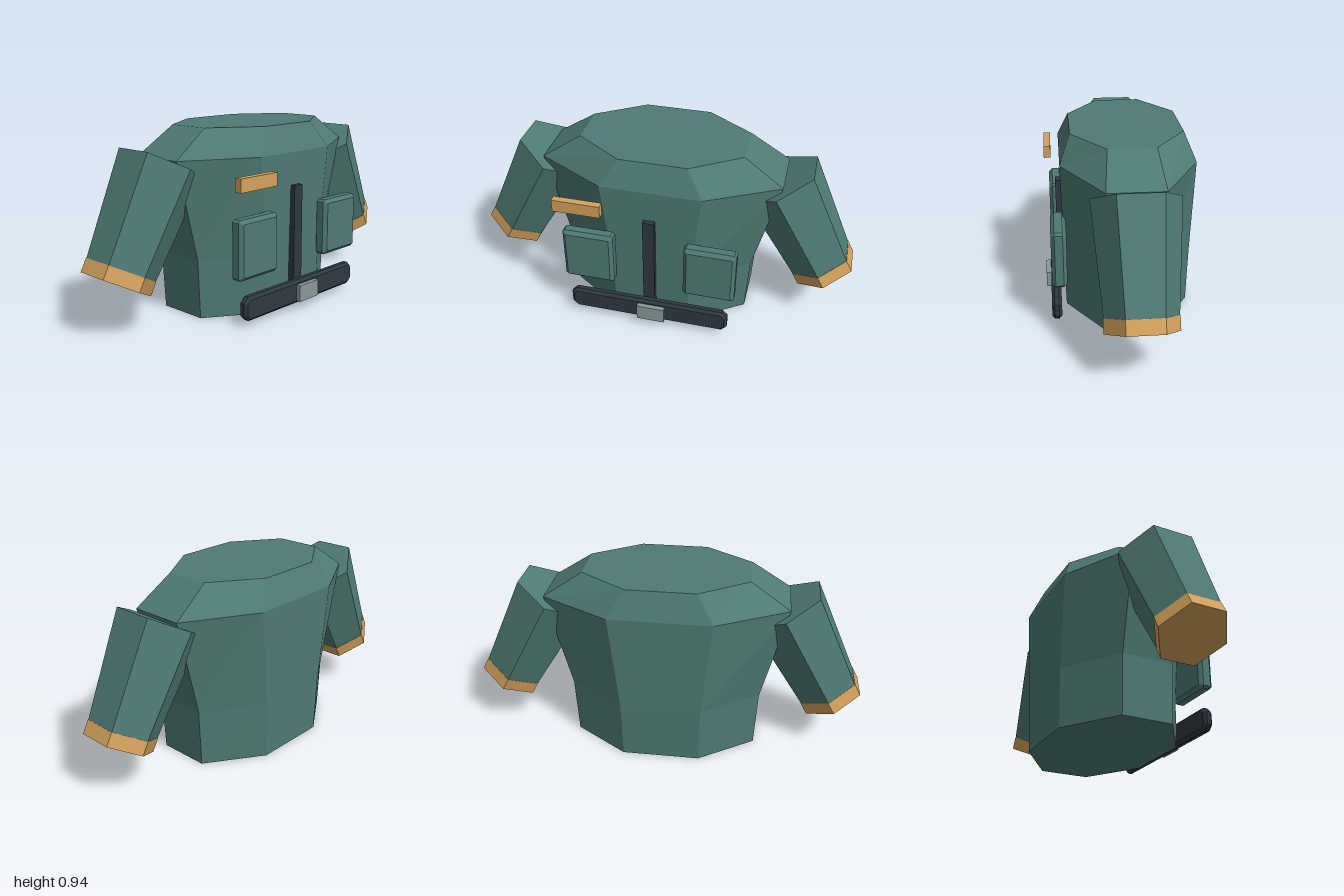
import * as THREE from 'three';

const material = (name, color) => {
  const m = new THREE.MeshStandardMaterial({ color });
  m.name = name;
  return m;
};

// Faceted normals for low-poly parts
const faceted = (geometry) => {
  const g = geometry.index ? geometry.toNonIndexed() : geometry;
  g.computeVertexNormals();
  return g;
};

// Eight-sided body: rings of [y, half width, half depth]
function torsoGeometry() {
  const rings = [[0, 0.475, 0.318], [0.3, 0.49, 0.325], [0.8, 0.615, 0.335], [0.935, 0.415, 0.28]];
  const g = new THREE.CylinderGeometry(1, 1, 3, 8, 3).rotateY(Math.PI / 8);
  const p = g.attributes.position;
  const k = 1 / Math.cos(Math.PI / 8);
  for (let i = 0; i < p.count; i++) {
    const [y, w, d] = rings[Math.round(p.getY(i) + 1.5)];
    p.setXYZ(i, p.getX(i) * w * k, y, p.getZ(i) * d * k);
  }
  return faceted(g);
}

// Slab with cut corners and a bevelled rim, centred on the origin
function bevelledSlab(w, h, d, cut, bevel) {
  const x = w / 2, y = h / 2;
  const outline = [
    [x - cut, -y], [x, -y + cut], [x, y - cut], [x - cut, y],
    [-x + cut, y], [-x, y - cut], [-x, -y + cut], [-x + cut, -y],
  ].map(([a, b]) => new THREE.Vector2(a, b));
  const g = new THREE.ExtrudeGeometry(new THREE.Shape(outline), {
    depth: d - 2 * bevel, bevelEnabled: true, bevelSegments: 1,
    bevelSize: bevel, bevelThickness: bevel, bevelOffset: -bevel,
  });
  return faceted(g.translate(0, 0, bevel - d / 2));
}

export function createModel() {
  const group = new THREE.Group();
  group.name = 'jacket';
  const green = material('green cloth', 0x4f7b75);
  const tan = material('tan trim', 0xd4a25d);
  const dark = material('dark leather', 0x2d3940);
  const grey = material('grey metal', 0x8a9a9a);

  const add = (name, geometry, mat, x = 0, y = 0, z = 0, parent = group) => {
    const mesh = new THREE.Mesh(geometry, mat);
    mesh.name = name;
    mesh.position.set(x, y, z);
    parent.add(mesh);
    return mesh;
  };

  const midZ = -0.042;
  add('torso', torsoGeometry(), green, 0, 0, midZ);

  // Six-sided sleeves hang down and outwards from the shoulders
  const sleeveLength = 0.527, cuffLength = 0.07;
  for (const side of [1, -1]) {
    const arm = new THREE.Group();
    arm.name = side > 0 ? 'leftArm' : 'rightArm';
    arm.position.set(side * 0.592, 0.769, midZ);
    arm.rotation.z = side * THREE.MathUtils.degToRad(28.3);
    group.add(arm);
    add('sleeve', faceted(new THREE.CylinderGeometry(0.21, 0.17, sleeveLength, 6)),
      green, 0, -sleeveLength / 2, 0, arm);
    add('cuff', faceted(new THREE.CylinderGeometry(0.172, 0.172, cuffLength, 6)),
      tan, 0, -sleeveLength - cuffLength / 2, 0, arm);
    // Chest pocket
    add(side > 0 ? 'leftPocket' : 'rightPocket', bevelledSlab(0.265, 0.295, 0.076, 0.012, 0.018),
      green, side * 0.315 - 0.003, 0.382, 0.31);
  }

  // Front details
  add('placket', new THREE.BoxGeometry(0.06, 0.585, 0.035), dark, -0.004, 0.342, 0.298);
  add('belt', bevelledSlab(0.842, 0.122, 0.05, 0.028, 0.014), dark, -0.003, 0.09, 0.328);
  add('buckle', new THREE.BoxGeometry(0.145, 0.085, 0.03), grey, 0.017, 0.088, 0.363);
  add('chestBar', new THREE.BoxGeometry(0.245, 0.066, 0.037), tan, -0.353, 0.702, 0.354);

  return group;
}
